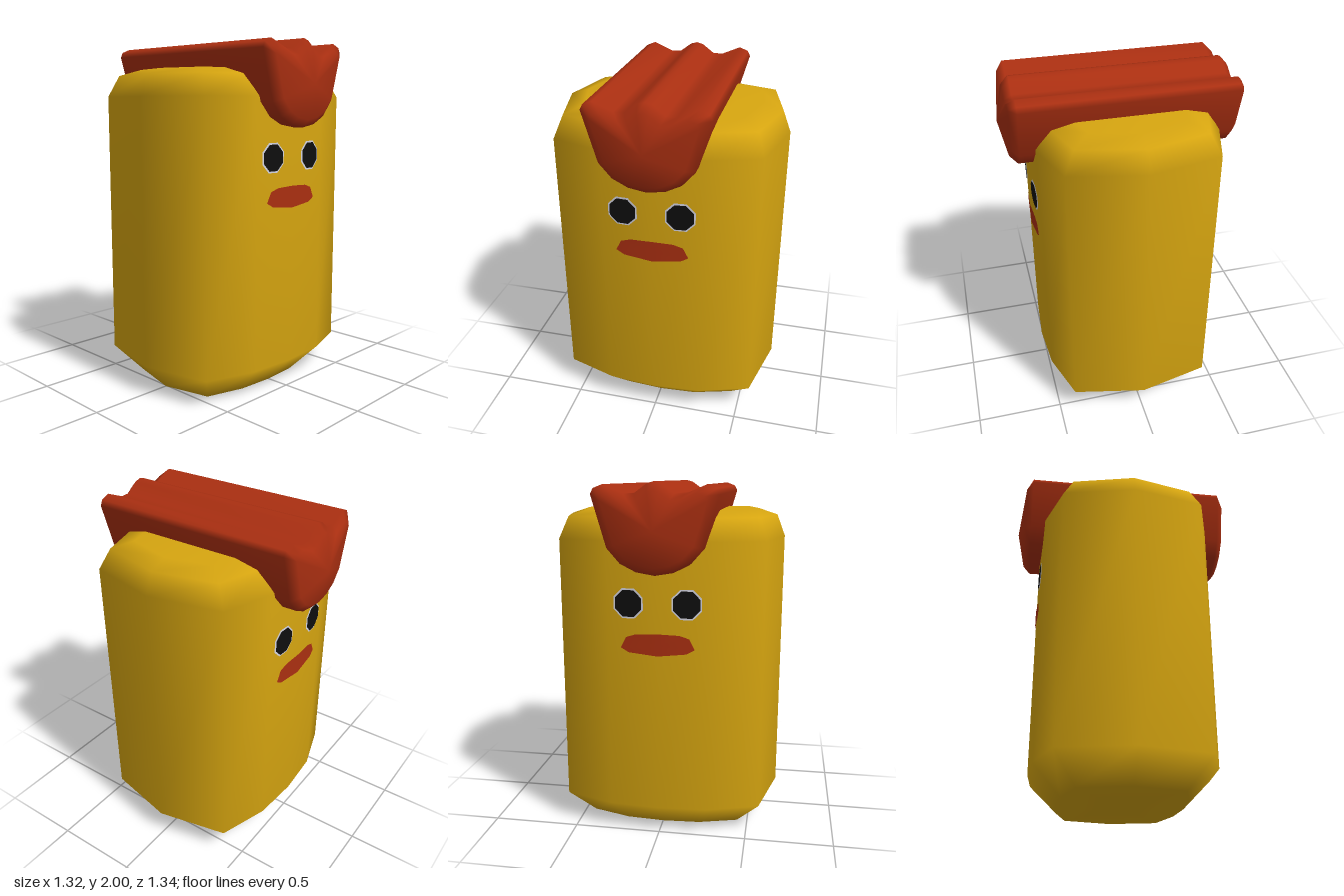
import * as THREE from 'three';

// Closed smooth skin through rings of points, each end closed by a fan to a centre point
function loft(rings, startCentre, endCentre) {
  const n = rings[0].length, last = (rings.length - 1) * n;
  const pos = [...rings.flat(), startCentre, endCentre].flat();
  const start = rings.length * n, end = start + 1;
  const index = [];
  for (let j = 0; j < n; j++) {
    const k = (j + 1) % n;
    for (let i = 0; i < last; i += n) {
      index.push(i + j, i + k, i + n + k, i + j, i + n + k, i + n + j);
    }
    index.push(start, k, j, end, last + j, last + k);
  }
  return toGeometry(pos, index);
}

function toGeometry(pos, index) {
  const g = new THREE.BufferGeometry();
  g.setAttribute('position', new THREE.Float32BufferAttribute(pos, 3));
  g.setIndex(index);
  g.computeVertexNormals();
  return g;
}

// Depth of the body's front at a given x
const frontZ = (x) => 0.525 - 0.02 * Math.abs(x) / 0.28;

// Thin patch lying on the front of the body, outline counter-clockwise around its centre
function patch(cx, cy, outline, lift) {
  const pos = [[0, 0], ...outline].flatMap(([x, y]) => [cx + x, cy + y, frontZ(cx + x) + lift]);
  const index = outline.flatMap((_, i) => [0, i + 1, (i + 1) % outline.length + 1]);
  return toGeometry(pos, index);
}

const octagon = (r) => Array.from({ length: 8 }, (_, i) => {
  const a = (i + 0.5) * Math.PI / 4;
  return [r * Math.cos(a), r * Math.sin(a)];
});

export function createModel() {
  const material = (name, color) => new THREE.MeshStandardMaterial({ name, color });
  const yellow = material('mustardYellow', 0xd6a510);
  const red = material('sausageRed', 0xaa2f11);
  const black = material('black', 0x0e0e0e);
  const white = material('paleGrey', 0xd4d4e0);

  const model = new THREE.Group();
  const add = (parent, name, geometry, mat) => {
    const mesh = new THREE.Mesh(geometry, mat);
    mesh.name = name;
    parent.add(mesh);
  };

  // Body: twelve-sided column, chamfered below and rounded above
  const quarter = [[0.66, 0], [0.57, 0.41], [0.28, 0.505], [0, 0.525]];
  const half = [...quarter, ...quarter.slice(1, 3).reverse().map(([x, z]) => [-x, z])];
  const outline = [...half, ...half.map(([x, z]) => [-x, -z])];
  const levels = [[0, 0.77, 0.69], [0.165, 1, 1], [1.69, 1, 1], [1.81, 0.93, 0.86], [1.845, 0.77, 0.64]];
  const bodyRings = levels.map(([y, sx, sz]) => outline.map(([x, z]) => [x * sx, y, -z * sz]));
  add(model, 'body', loft(bodyRings, [0, 0, 0], [0, 1.845, 0]), yellow);

  // Comb: three-ridged bar running front to back with domed ends
  const right = [[0.1, 1.537], [0.185, 1.58], [0.255, 1.66], [0.335, 1.935], [0.32, 1.965], [0.27, 1.985],
    [0.16, 1.938], [0.105, 1.94], [0.037, 1.99]];
  const profile = [[0, 1.52], ...right, [0, 2], ...right.map(([x, y]) => [-x, y]).reverse()];
  const midY = 1.755;
  const combRings = [[-0.63, 0.82], [-0.59, 1], [0.59, 1], [0.63, 0.82]].map(([z, s]) =>
    profile.map(([x, y]) => [x * s, midY + (y - midY) * s, z]));
  add(model, 'comb', loft(combRings, [0, midY, -0.672], [0, midY, 0.672]), red);

  // The same face on the front and on the back
  const mouth = [[0.205, -0.02], [0.175, 0.04], [0.12, 0.058], [0, 0.064], [-0.12, 0.058], [-0.175, 0.04],
    [-0.205, -0.02], [-0.16, -0.045], [0, -0.06], [0.16, -0.045]];
  for (const [name, turn] of [['frontFace', 0], ['backFace', Math.PI]]) {
    const face = new THREE.Group();
    face.name = name;
    face.rotation.y = turn;
    for (const [side, x] of [['left', 0.16], ['right', -0.16]]) {
      add(face, side + 'EyeRim', patch(x, 1.357, octagon(0.089), 0.004), white);
      add(face, side + 'Eye', patch(x, 1.357, octagon(0.079), 0.007), black);
    }
    add(face, 'mouth', patch(0, 1.13, mouth, 0.005), red);
    model.add(face);
  }
  return model;
}
